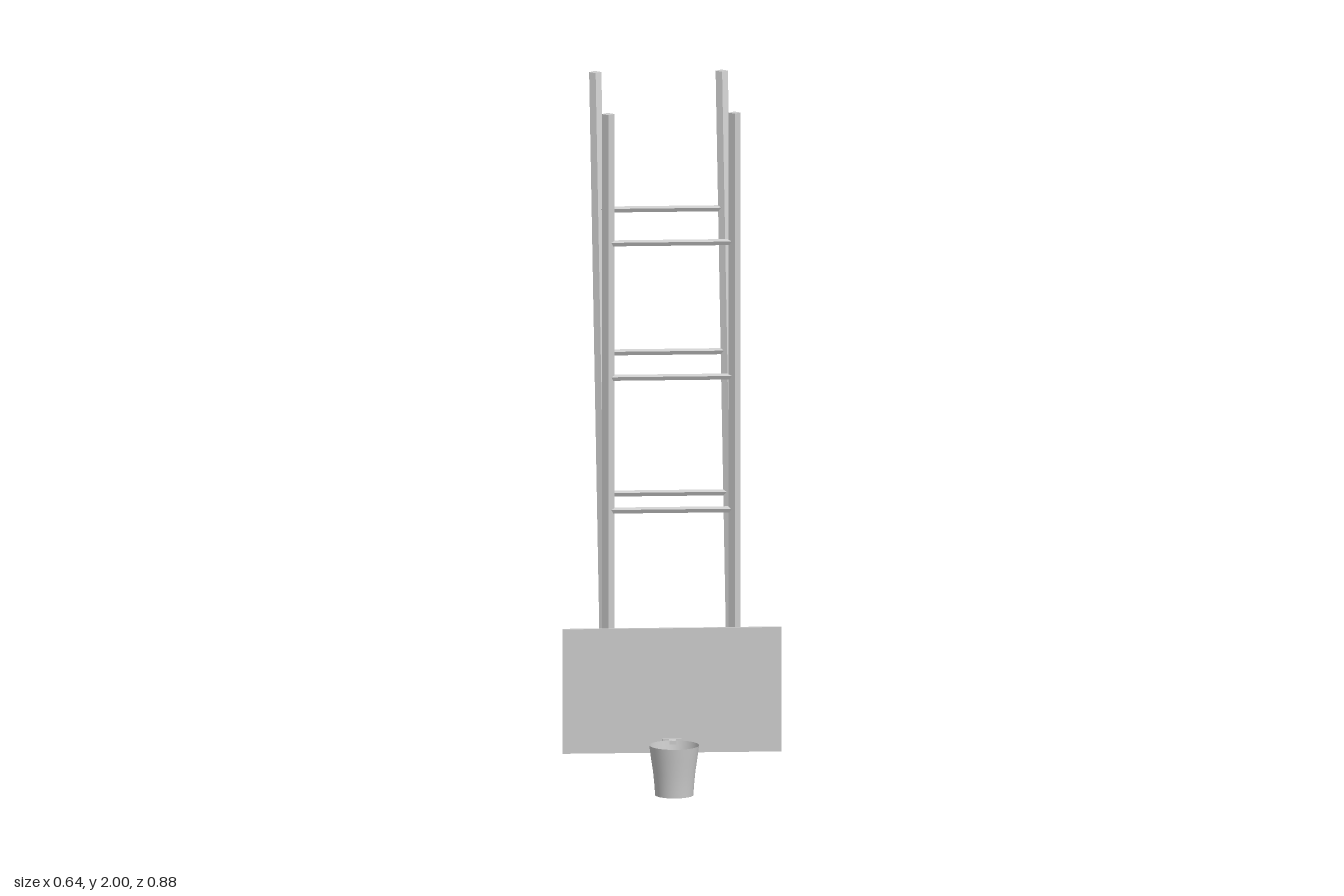
import * as THREE from 'three';

const mat = new THREE.MeshStandardMaterial({ color: 0xcccccc, flatShading: true });
const smooth = new THREE.MeshStandardMaterial({ color: 0xcccccc, side: THREE.DoubleSide });
const RAIL_X = 0.185, R = 0.018;

function add(parent, name, geo, x = 0, y = 0, z = 0, material = mat) {
  const mesh = new THREE.Mesh(geo, material);
  mesh.name = name;
  mesh.position.set(x, y, z);
  parent.add(mesh);
  return mesh;
}

// Diamond-section bar lofted through [y, z, half depth, tilt] stations
function diamondBar(stations) {
  const pos = [], idx = [];
  for (const [y, z, d, tilt] of stations) {
    pos.push(R, y, z, 0, y - d * tilt, z - d, -R, y, z, 0, y + d * tilt, z + d);
  }
  const n = stations.length;
  for (let s = 0; s < n - 1; s++) {
    for (let i = 0; i < 4; i++) {
      const a = s * 4 + i, b = s * 4 + (i + 1) % 4;
      idx.push(a, b, b + 4, a, b + 4, a + 4);
    }
  }
  const t = (n - 1) * 4;
  idx.push(0, 2, 1, 0, 3, 2, t, t + 1, t + 2, t, t + 2, t + 3);
  const geo = new THREE.BufferGeometry();
  geo.setAttribute('position', new THREE.Float32BufferAttribute(pos, 3));
  geo.setIndex(idx);
  geo.computeVertexNormals();
  return geo;
}

function rung(parent, y, z) {
  const geo = new THREE.CylinderGeometry(0.009, 0.009, 2 * RAIL_X - 0.01, 4);
  geo.rotateY(0.35).rotateZ(Math.PI / 2);
  add(parent, 'rung', geo, 0, y, z);
}

export function createModel() {
  const model = new THREE.Group();
  const front = new THREE.Group(), back = new THREE.Group(), holder = new THREE.Group();
  front.name = 'uprightLadder';
  back.name = 'leaningLadder';
  holder.name = 'cupHolder';
  model.add(front, back, holder);

  // Rails: straight pair in front, bent pair leaning backwards
  for (const side of [-1, 1]) {
    const x = side * RAIL_X;
    add(front, 'uprightRail', diamondBar([[0.13, 0.222, 0.017, 0], [2, 0.222, 0.017, 0]]), x);
    add(back, 'leaningRail', diamondBar([
      [0.13, 0.222, 0.014, 0.6],
      [0.252, 0.147, 0.016, 0.5],
      [2, -0.42, 0.018, 0],
    ]), x);
    add(front, 'bracket', new THREE.BoxGeometry(0.032, 0.175, 0.026), x, 0.21, 0.24);
  }

  // Rungs on both ladders, sharing the lowest one
  for (const y of [0.43, 0.82, 1.215, 1.615]) {
    rung(front, y, 0.222);
    rung(back, y, 0.147 - 0.567 * (y - 0.252) / 1.748);
  }
  rung(front, 0.137, 0.222);

  // Front board
  add(model, 'board', new THREE.BoxGeometry(0.64, 0.37, 0.01), 0, 0.29, 0.254);

  // Cup open at both ends, with its mounting plate and stem
  add(holder, 'mountPlate', new THREE.BoxGeometry(0.055, 0.04, 0.008), 0, 0.127, 0.263);
  add(holder, 'mountStem', new THREE.BoxGeometry(0.02, 0.01, 0.033), 0, 0.142, 0.28);
  const profile = [[0.056, 0], [0.058, 0.03], [0.062, 0.07], [0.068, 0.11], [0.073, 0.148]];
  add(holder, 'cup', new THREE.LatheGeometry(profile.map(p => new THREE.Vector2(...p)), 32),
    0, 0, 0.366, smooth);

  return model;
}
